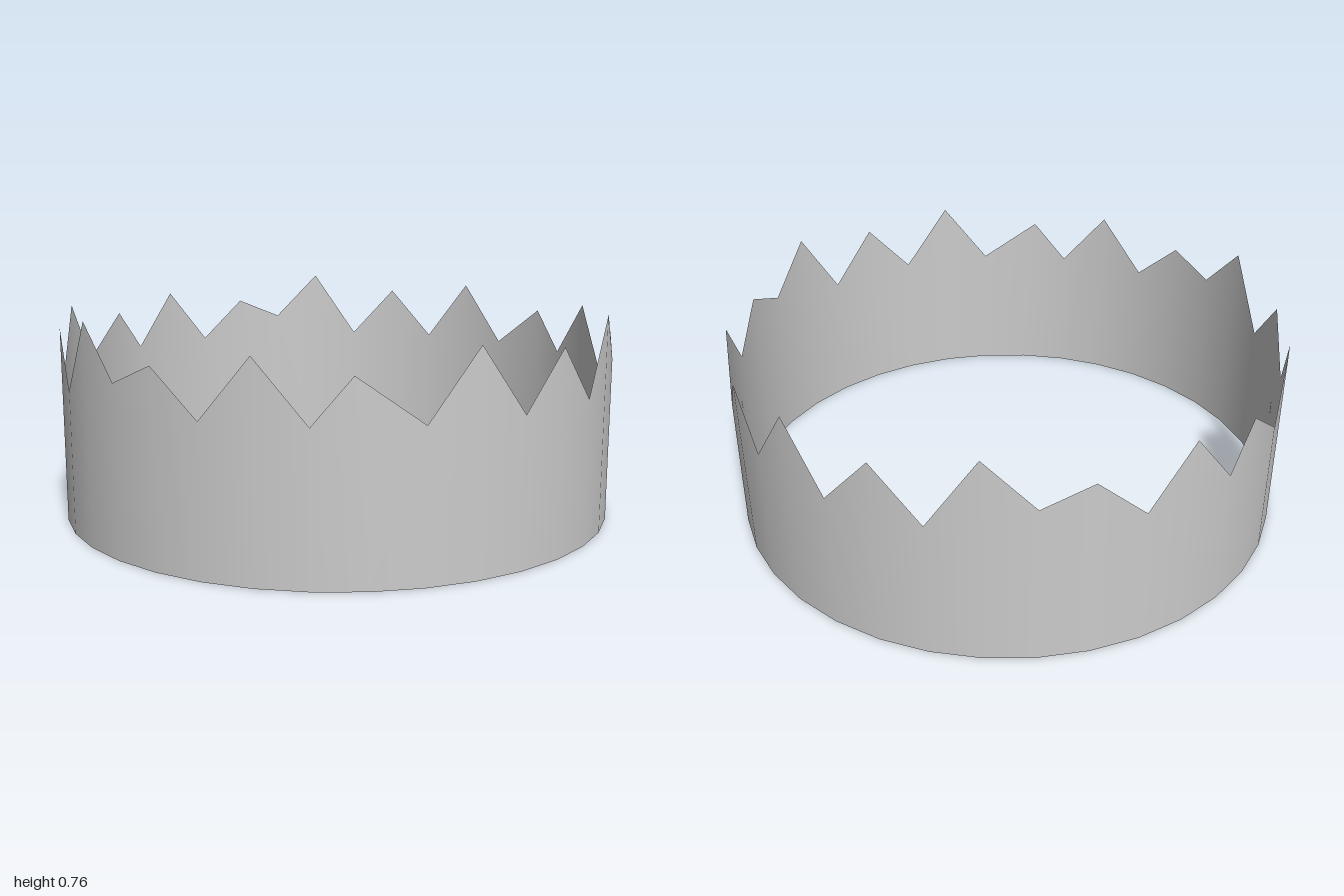
import * as THREE from 'three';

// Rim heights every 10 degrees (valley, peak, ...); the run repeats three times around
const RIM = [0.503, 0.711, 0.503, 0.657, 0.503, 0.733, 0.503, 0.695, 0.503, 0.76, 0.583, 0.657];
const SEGMENTS = 36;
const LEANING_PEAK = 3; // this peak sits a little off the middle of its point

export function createModel() {
  const group = new THREE.Group();
  group.name = 'crown';

  // Thin open band; its top row of vertices is raised into the points
  const geometry = new THREE.CylinderGeometry(1, 1, 1, SEGMENTS, 1, true);
  geometry.translate(0, 0.5, 0);
  const position = geometry.attributes.position;
  for (let i = 0; i <= SEGMENTS; i++) {
    const k = i % RIM.length;
    position.setY(i, RIM[k]);
    if (k === LEANING_PEAK) {
      const angle = THREE.MathUtils.degToRad(i * 10 - 2.5);
      position.setX(i, 0.997 * Math.sin(angle));
      position.setZ(i, 0.997 * Math.cos(angle));
    }
  }

  const band = new THREE.Mesh(
    geometry,
    new THREE.MeshStandardMaterial({ color: 0xcccccc, side: THREE.DoubleSide })
  );
  band.name = 'pointedBand';
  group.add(band);
  return group;
}
